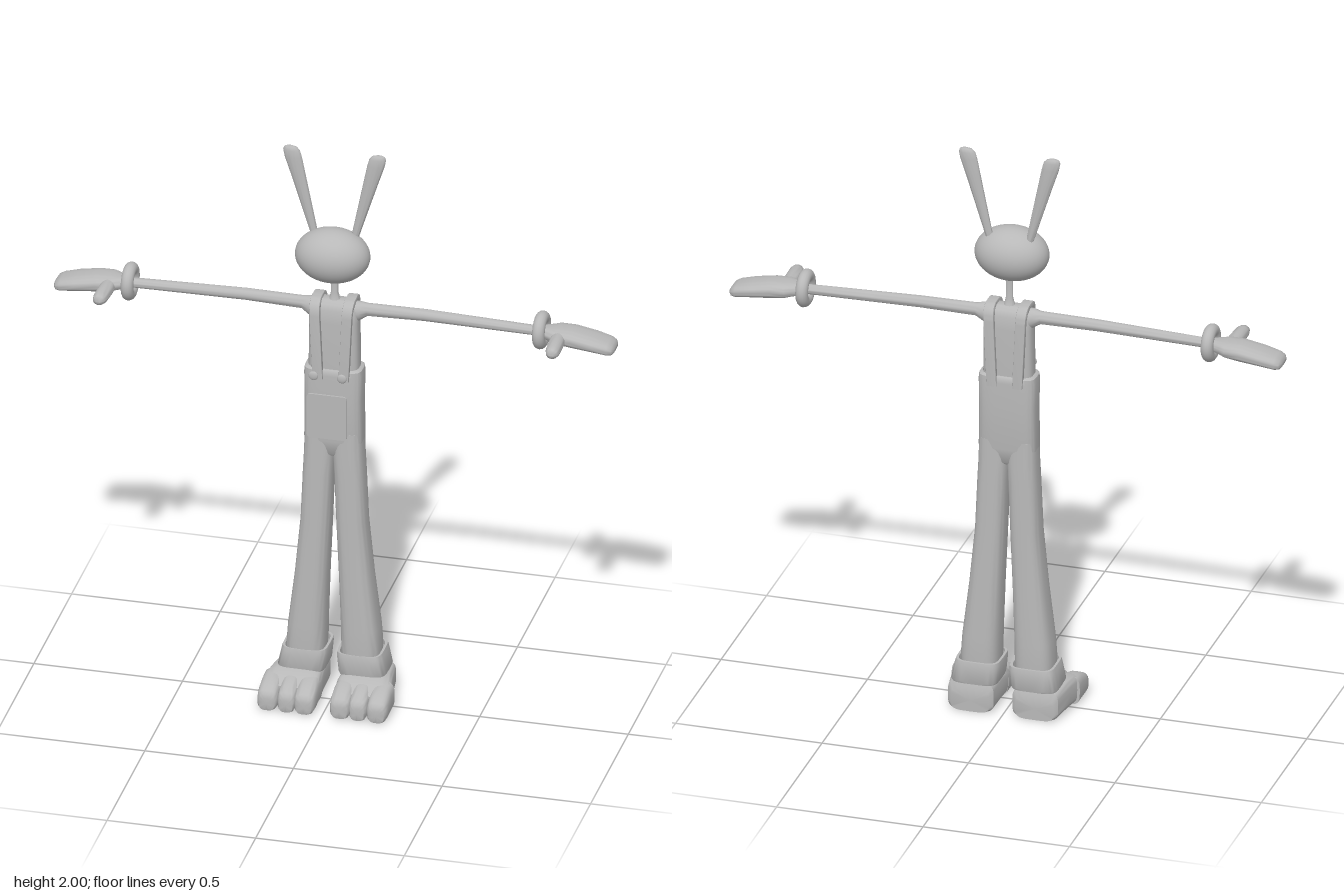
import * as THREE from 'three';
import { toCreasedNormals } from 'three/addons/utils/BufferGeometryUtils.js';

// Lofts rounded sections [t, u, v, ru, rv] along an axis; u and v are the other two axes in xyz order.
// power 2 gives ellipses, higher powers give rounded boxes.
function loft(axis, sections, power = 2, capped = true, sides = 32) {
  const pos = [], index = [];
  const put = (t, u, v) => pos.push(...(axis === 'x' ? [t, u, v] : axis === 'y' ? [u, t, v] : [u, v, t]));
  const bend = (c) => Math.sign(c) * Math.pow(Math.abs(c), 2 / power);
  const tri = (a, b, c) => (axis === 'y' ? index.push(a, c, b) : index.push(a, b, c));
  for (const [t, u, v, ru, rv] of sections) {
    for (let i = 0; i < sides; i++) {
      const a = (i / sides) * Math.PI * 2;
      put(t, u + ru * bend(Math.cos(a)), v + rv * bend(Math.sin(a)));
    }
  }
  for (let s = 0; s < sections.length - 1; s++) {
    for (let i = 0; i < sides; i++) {
      const a = s * sides + i, b = s * sides + ((i + 1) % sides);
      tri(a, b, b + sides);
      tri(a, b + sides, a + sides);
    }
  }
  if (capped) {
    const last = (sections.length - 1) * sides, c = sections.length * sides;
    const end = sections[sections.length - 1];
    put(sections[0][0], sections[0][1], sections[0][2]);
    put(end[0], end[1], end[2]);
    for (let i = 0; i < sides; i++) {
      const j = (i + 1) % sides;
      tri(c, j, i);
      tri(c + 1, last + i, last + j);
    }
  }
  const g = new THREE.BufferGeometry();
  g.setAttribute('position', new THREE.Float32BufferAttribute(pos, 3));
  g.setIndex(index);
  return toCreasedNormals(g, 0.75);
}

// Reflects a geometry across x = 0 and keeps its faces outward.
function mirrored(geometry) {
  const g = geometry.index ? geometry.toNonIndexed() : geometry.clone();
  for (const name of ['position', 'normal']) {
    const a = g.attributes[name].array;
    for (let i = 0; i < a.length; i += 3) a[i] *= -1;
    for (let i = 0; i < a.length; i += 9) {
      for (let k = 0; k < 3; k++) [a[i + 3 + k], a[i + 6 + k]] = [a[i + 6 + k], a[i + 3 + k]];
    }
  }
  return g;
}

function roundedRect(w, h, r) {
  const s = new THREE.Shape();
  s.moveTo(-w / 2 + r, -h / 2);
  s.lineTo(w / 2 - r, -h / 2).quadraticCurveTo(w / 2, -h / 2, w / 2, -h / 2 + r);
  s.lineTo(w / 2, h / 2 - r).quadraticCurveTo(w / 2, h / 2, w / 2 - r, h / 2);
  s.lineTo(-w / 2 + r, h / 2).quadraticCurveTo(-w / 2, h / 2, -w / 2, h / 2 - r);
  s.lineTo(-w / 2, -h / 2 + r).quadraticCurveTo(-w / 2, -h / 2, -w / 2 + r, -h / 2);
  return s;
}

export function createModel() {
  const model = new THREE.Group();
  const clay = new THREE.MeshStandardMaterial({ color: 0xb8b8b8 });
  clay.name = 'clay grey';
  const add = (name, geometry) => {
    const mesh = new THREE.Mesh(geometry, clay);
    mesh.name = name;
    model.add(mesh);
  };
  const pair = (name, geometry) => {
    add('left' + name, geometry);
    add('right' + name, mirrored(geometry));
  };

  // Head, neck and ears
  add('head', new THREE.SphereGeometry(1, 40, 28).scale(0.125, 0.093, 0.093).translate(0, 1.628, -0.021));
  add('neck', loft('y', [[1.43, 0, -0.05, 0.04, 0.03], [1.455, 0, -0.049, 0.018, 0.018],
    [1.48, 0, -0.048, 0.012, 0.012], [1.56, 0, -0.048, 0.012, 0.012]]));
  pair('Ear', loft('y', [[1.68, 0.066, -0.047, 0.012, 0.011], [1.8, 0.097, -0.047, 0.019, 0.012],
    [1.9, 0.123, -0.047, 0.025, 0.013], [1.96, 0.139, -0.047, 0.029, 0.013], [1.985, 0.145, -0.047, 0.028, 0.012],
    [1.996, 0.148, -0.047, 0.021, 0.009], [2.0, 0.15, -0.047, 0.01, 0.004]]));

  // Torso and overall straps
  add('torso', loft('y', [[1.18, 0, -0.05, 0.085, 0.045], [1.38, 0, -0.05, 0.083, 0.045],
    [1.425, 0, -0.05, 0.083, 0.041], [1.445, 0, -0.05, 0.074, 0.033], [1.455, 0, -0.05, 0.05, 0.018]], 3.5));
  const arch = new THREE.Shape();
  arch.moveTo(-0.01, 1.18).lineTo(-0.01, 1.41).quadraticCurveTo(-0.006, 1.464, 0.04, 1.464);
  arch.lineTo(0.06, 1.464).quadraticCurveTo(0.106, 1.464, 0.107, 1.41).lineTo(0.107, 1.18);
  arch.lineTo(0.092, 1.18).lineTo(0.092, 1.41).quadraticCurveTo(0.09, 1.446, 0.06, 1.446);
  arch.lineTo(0.04, 1.446).quadraticCurveTo(0.007, 1.446, 0.005, 1.41).lineTo(0.005, 1.18);
  const strap = new THREE.ExtrudeGeometry(arch, { depth: 0.028, bevelThickness: 0.003, bevelSize: 0.002,
    bevelSegments: 2, curveSegments: 10 });
  strap.rotateY(Math.PI / 2).translate(0.036, 0, 0);
  const sp = strap.attributes.position;
  for (let i = 0; i < sp.count; i++) sp.setX(i, sp.getX(i) + (sp.getY(i) - 1.32) * 0.045);
  pair('Strap', toCreasedNormals(strap, 0.6));

  // Arms, wrist rings and mittens
  pair('Arm', loft('x', [[0.05, 1.41, -0.05, 0.042, 0.035], [0.085, 1.418, -0.052, 0.033, 0.028],
    [0.11, 1.424, -0.055, 0.022, 0.021], [0.3, 1.426, -0.059, 0.02, 0.02], [0.72, 1.416, -0.062, 0.016, 0.018]], 2, true, 20));
  pair('WristRing', new THREE.TorusGeometry(0.043, 0.021, 16, 36).rotateY(Math.PI / 2).translate(0.692, 1.42, -0.063));
  pair('Hand', loft('x', [[0.69, 1.416, -0.063, 0.018, 0.022], [0.73, 1.415, -0.063, 0.022, 0.042],
    [0.75, 1.414, -0.064, 0.026, 0.052], [0.8, 1.41, -0.065, 0.029, 0.054], [0.87, 1.4, -0.065, 0.025, 0.055],
    [0.92, 1.39, -0.065, 0.022, 0.05], [0.935, 1.387, -0.065, 0.017, 0.043], [0.942, 1.386, -0.065, 0.007, 0.03]], 2.6));
  pair('Thumb', loft('z', [[-0.06, 0.756, 1.413, 0.022, 0.022], [0, 0.758, 1.412, 0.026, 0.023],
    [0.06, 0.761, 1.412, 0.024, 0.022], [0.08, 0.762, 1.412, 0.019, 0.017], [0.09, 0.762, 1.412, 0.007, 0.006]], 2, true, 20));

  // Overalls: waist and two flared legs
  add('trouserTop', loft('y', [[0.89, 0, -0.05, 0.085, 0.035], [0.9, 0, -0.05, 0.093, 0.045],
    [0.95, 0, -0.05, 0.098, 0.053], [1.1, 0, -0.05, 0.096, 0.055], [1.19, 0, -0.05, 0.098, 0.054],
    [1.208, 0, -0.05, 0.096, 0.053], [1.213, 0, -0.05, 0.09, 0.048]], 4, true, 48));
  pair('TrouserLeg', loft('y', [[0.11, 0.094, -0.052, 0.06, 0.064], [0.19, 0.092, -0.052, 0.065, 0.068],
    [0.26, 0.089, -0.052, 0.063, 0.067], [0.45, 0.074, -0.051, 0.055, 0.062], [0.65, 0.06, -0.05, 0.05, 0.058],
    [0.82, 0.053, -0.05, 0.05, 0.056], [0.9, 0.049, -0.05, 0.05, 0.054], [0.98, 0.048, -0.05, 0.049, 0.052]], 3));
  pair('TrouserCuff', loft('y', [[0.1, 0.1, -0.056, 0.06, 0.06], [0.1, 0.102, -0.057, 0.078, 0.076],
    [0.108, 0.102, -0.057, 0.081, 0.079], [0.165, 0.093, -0.057, 0.078, 0.077], [0.178, 0.092, -0.057, 0.075, 0.074],
    [0.178, 0.092, -0.055, 0.067, 0.069], [0.13, 0.092, -0.055, 0.061, 0.065]], 4.5, false));

  // Pocket and buttons
  const pocket = new THREE.ExtrudeGeometry(roundedRect(0.135, 0.16, 0.014), { depth: 0.006, bevelEnabled: false });
  add('pocket', pocket.translate(-0.002, 1.065, 0.045));
  pair('Button', new THREE.SphereGeometry(0.016, 16, 12).scale(1, 1, 0.35).translate(0.048, 1.211, 0.047));

  // Feet with three toes each
  pair('Foot', loft('z', [[-0.13, 0.11, 0.04, 0.065, 0.04], [-0.12, 0.11, 0.052, 0.078, 0.052],
    [-0.03, 0.115, 0.056, 0.086, 0.056], [0.03, 0.119, 0.054, 0.093, 0.054], [0.06, 0.122, 0.046, 0.094, 0.046],
    [0.09, 0.122, 0.037, 0.088, 0.037]], 4.5));
  for (const [i, x] of [0.06, 0.12, 0.184].entries()) {
    const w = i === 1 ? 0.031 : 0.035;
    pair('Toe' + (i + 1), loft('z', [[0.02, x, 0.05, w, 0.05], [0.06, x, 0.048, w, 0.048], [0.1, x, 0.041, w, 0.041],
      [0.123, x, 0.035, w * 0.93, 0.035], [0.132, x, 0.031, w * 0.75, 0.029], [0.135, x, 0.028, w * 0.4, 0.018]], 3.2, true, 24));
  }
  return model;
}
